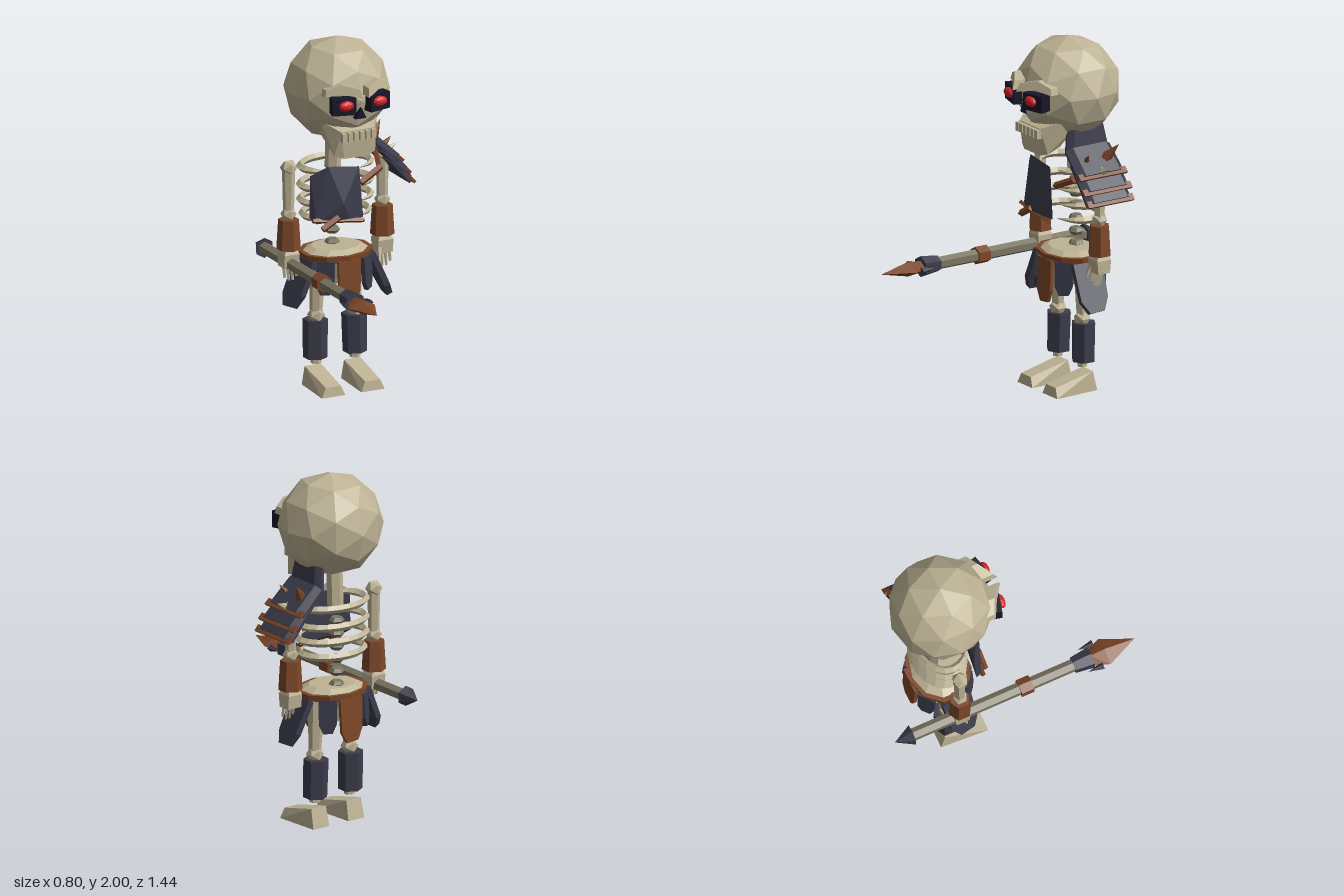
import * as THREE from 'three';
import { ConvexGeometry } from 'three/addons/geometries/ConvexGeometry.js';

const mat = (name, color) => Object.assign(new THREE.MeshStandardMaterial({ color }), { name });

export function createModel() {
  const bone = mat('bone', 0xbdb294), agedBone = mat('aged bone', 0x7c7562), iron = mat('dark iron', 0x3c3c4c);
  const leather = mat('brown leather', 0x7d4728), socketBlack = mat('socket black', 0x16162a), red = mat('glowing red', 0xd42226);
  const model = new THREE.Group();
  model.name = 'skeletonWarrior';
  const CX = -0.018, CZ = -0.33; // body axis
  const V = (x, y, z) => new THREE.Vector3(x, y, z);

  // Adds a faceted mesh
  function add(name, geo, material, x = 0, y = 0, z = 0) {
    const g = geo.index ? geo.toNonIndexed() : geo;
    g.computeVertexNormals();
    const m = new THREE.Mesh(g, material);
    m.name = name;
    m.position.set(x, y, z);
    model.add(m);
    return m;
  }
  const box = (w, h, d) => new THREE.BoxGeometry(w, h, d);
  const hull = (pts) => new ConvexGeometry(pts.map((p) => V(...p)));
  // Tapered prism from point a to point b
  function rod(name, a, b, ra, rb, sides, material) {
    const A = V(...a), B = V(...b), dir = B.clone().sub(A);
    const g = new THREE.CylinderGeometry(rb, ra, dir.length(), sides);
    g.applyQuaternion(new THREE.Quaternion().setFromUnitVectors(V(0, 1, 0), dir.clone().normalize()));
    const c = A.add(B).multiplyScalar(0.5);
    return add(name, g, material, c.x, c.y, c.z);
  }
  function extrude(pts, depth) {
    const s = new THREE.Shape(pts.map((p) => new THREE.Vector2(...p)));
    return new THREE.ExtrudeGeometry(s, { depth, bevelEnabled: false });
  }
  // Moves every vertex by a rule
  function reshape(g, rule) {
    const p = g.attributes.position;
    for (let i = 0; i < p.count; i++) p.setXYZ(i, ...rule(p.getX(i), p.getY(i), p.getZ(i)));
    return g;
  }

  // Skull and jaw
  add('skull', new THREE.IcosahedronGeometry(0.292, 1), bone, CX, 1.708, -0.316);
  add('jaw', hull([-1, 1].flatMap((s) => [
    [s * 0.172, 1.575, -0.17], [s * 0.172, 1.56, -0.29], [s * 0.1, 1.53, -0.065],
    [s * 0.125, 1.385, -0.1], [s * 0.075, 1.37, -0.08], [s * 0.11, 1.41, -0.19],
  ])), bone, CX);
  for (let i = 0; i < 6; i++) add('tooth', box(0.027, 0.05, 0.05), bone, CX + (i - 2.5) * 0.036, 1.5, -0.066);
  add('noseHole', hull([[0, 1.67, -0.015], [-0.033, 1.607, -0.025], [0.033, 1.607, -0.025], [0, 1.612, -0.008],
    [0, 1.67, -0.07], [-0.033, 1.607, -0.07], [0.033, 1.607, -0.07]]), socketBlack, CX);

  // Eyes and brows
  for (const s of [-1, 1]) {
    const socket = add('eyeSocket', box(0.135, 0.095, 0.07), socketBlack, CX + s * 0.103, 1.692, -0.04);
    socket.rotation.y = s * 0.25;
    add('eye', new THREE.IcosahedronGeometry(1, 1).scale(0.045, 0.03, 0.025), red, CX + s * 0.102, 1.7, 0);
    let pts = [[0.018, 1.74], [0.113, 1.762], [0.197, 1.742], [0.187, 1.78], [0.11, 1.812], [0.026, 1.788]];
    pts = pts.map(([x, y]) => [s * x, y]);
    const brow = reshape(extrude(pts, 0.075),
      (x, y, z) => [x, y, z - 0.03 - 0.6 * Math.abs(x) - (y - 1.75) * 0.3]);
    add('brow', brow, bone, CX);
  }

  // Spine
  rod('neck', [CX, 1.24, -0.36], [CX, 1.46, -0.35], 0.045, 0.045, 6, bone);
  const vertebra = [[0, -0.02], [0.03, -0.02], [0.044, 0], [0.03, 0.02], [0, 0.02]].map((p) => new THREE.Vector2(...p));
  for (let i = 0; i < 7; i++)
    add('vertebra', new THREE.LatheGeometry(vertebra, 6), agedBone, CX, 0.8 + i * 0.073, -0.37);

  // Ribs, tapering to the open front
  const gap = 0.75, arc = Math.PI * 2 - gap;
  [0.99, 1.075, 1.16, 1.265].forEach((y, i) => {
    const R = 0.2;
    const g = reshape(new THREE.TorusGeometry(R, 0.022, 4, 18, arc), (x, yy, z) => {
      let a = Math.atan2(yy, x);
      if (a < -1e-6) a += Math.PI * 2;
      const t = Math.max(0, Math.min(a / arc, 1 - a / arc));
      const k = Math.min(1, 0.1 + 6 * t), r = R + (Math.hypot(x, yy) - R) * k;
      return [Math.cos(a) * r, Math.sin(a) * r, z * k];
    });
    g.rotateZ(Math.PI / 2 + gap / 2).rotateX(Math.PI / 2).scale(i === 0 ? 0.96 : 1.03, 1, 0.72);
    add('rib', g, bone, CX, y, CZ);
  });

  // Breastplate and straps
  add('breastplate', hull([
    [-0.235, 1.255, -0.21], [-0.15, 1.31, -0.16], [0.04, 1.285, -0.16], [0.065, 0.99, -0.16], [-0.22, 0.99, -0.16],
    [-0.245, 1.02, -0.2], [-0.08, 1.1, -0.11], [-0.04, 1.01, -0.12], [-0.1, 1.27, -0.18],
  ]), iron);
  rod('strap', [-0.245, 1.012, -0.16], [0.06, 0.98, -0.14], 0.014, 0.014, 4, leather);
  rod('strap', [-0.2, 0.965, -0.13], [-0.1, 1.02, -0.13], 0.02, 0.02, 4, leather);
  rod('strap', [0.06, 1.18, -0.18], [0.2, 1.245, -0.21], 0.02, 0.02, 4, leather);
  rod('strap', [0.19, 1.24, -0.21], [0.21, 1.37, -0.33], 0.016, 0.016, 4, leather);

  // Layered shoulder guard on the left
  function plate(x1, y1, x2, y2, z1, z2, trim) {
    const rows = [[x1, y1, z1], [x2, y2, z2]];
    const len = Math.hypot(x2 - x1, y2 - y1), nx = (y1 - y2) / len, ny = (x2 - x1) / len, t = 0.016;
    add('shoulderPlate', hull(rows.flatMap(([x, y, h]) => [-1, 1].flatMap((s) => [
      [x + nx * t, y + ny * t, s * h * 0.75], [x - nx * t, y - ny * t, s * h * 0.75],
      [x - nx * t * 0.8, y - ny * t * 0.8, s * h], [x - nx * t * 1.6, y - ny * t * 1.6, s * h],
    ]))), iron, 0, 0, -0.325);
    if (trim) add('shoulderTrim', box(0.04, 0.016, z2 * 2 + 0.01), leather, x2, y2, -0.325).rotation.z = Math.atan2(y2 - y1, x2 - x1);
  }
  plate(0.15, 1.525, 0.17, 1.38, 0.115, 0.14, false);
  plate(0.17, 1.41, 0.305, 1.285, 0.145, 0.15, true);
  plate(0.22, 1.345, 0.35, 1.21, 0.145, 0.152, true);
  plate(0.27, 1.28, 0.38, 1.15, 0.14, 0.145, true);
  rod('shoulderSpike', [0.24, 1.35, -0.39], [0.31, 1.44, -0.43], 0.035, 0, 5, leather);
  rod('shoulderSpike', [0.29, 1.29, -0.33], [0.36, 1.325, -0.33], 0.026, 0, 5, bone);
  rod('shoulderSpike', [0.24, 1.35, -0.26], [0.285, 1.4, -0.25], 0.02, 0, 5, leather);

  // Limbs, mirrored
  for (const s of [-1, 1]) {
    const ax = CX + s * 0.288;
    add('shoulderJoint', new THREE.IcosahedronGeometry(0.048, 0), bone, ax, 1.28, CZ);
    rod('upperArm', [ax, 1.03, CZ], [ax, 1.26, CZ], 0.03, 0.036, 6, bone);
    add('elbow', new THREE.IcosahedronGeometry(0.045, 0), bone, ax, 1.015, CZ);
    rod('armGuard', [ax, 0.815, CZ], [ax, 0.985, CZ], 0.067, 0.057, 6, leather);
    add('palm', hull([-1, 1].flatMap((a) => [-1, 1].flatMap((b) => [
      [a * 0.03, 0.83, b * 0.03], [a * 0.046, 0.79, b * 0.045], [a * 0.045, 0.715, b * 0.038]]))), bone, ax, 0, CZ);
    for (let f = 0; f < 4; f++) {
      const fx = ax + (f - 1.5) * 0.024;
      rod('finger', [fx, 0.73, CZ + 0.01], [fx, f % 3 ? 0.64 : 0.66, CZ + 0.025], 0.012, 0.008, 4, bone);
    }
    rod('thumb', [ax - s * 0.035, 0.76, CZ + 0.03], [ax - s * 0.045, 0.69, CZ + 0.055], 0.014, 0.009, 4, bone);

    const lx = CX + s * 0.119;
    rod('thigh', [lx, 0.42, CZ], [lx - s * 0.01, 0.74, CZ], 0.034, 0.05, 6, bone);
    add('knee', new THREE.IcosahedronGeometry(0.05, 0), bone, lx, 0.41, CZ);
    rod('shin', [lx, 0.135, CZ], [lx, 0.4, CZ], 0.03, 0.034, 6, bone);
    rod('shinGuard', [lx + s * 0.003, 0.165, CZ - 0.005], [lx, 0.385, CZ - 0.01], 0.067, 0.07, 6, iron);
    add('foot', hull([-1, 1].flatMap((a) => [
      [a * 0.072, 0, -0.115], [a * 0.055, 0, -0.39], [a * 0.046, 0.056, -0.122], [a * 0.05, 0.112, -0.365],
    ])), bone, lx + s * 0.002);
  }

  // Pelvis and belt
  const ring = (rt, rb, h) => new THREE.CylinderGeometry(rt, rb, h, 10).scale(1, 1, 0.82);
  add('pelvisTop', ring(0.14, 0.2, 0.03), bone, CX, 0.783, CZ);
  add('belt', ring(0.213, 0.208, 0.035), leather, CX, 0.758, CZ);
  add('pelvis', ring(0.15, 0.06, 0.16), bone, CX, 0.665, CZ);

  // Hanging flaps around the belt
  function flap(name, angle, w, h, depth, tilt, material) {
    const pts = [[-w, 0], [-w * 0.92, -h * 0.75], [-w * 0.45, -h], [w * 0.55, -h * 0.97], [w * 0.95, -h * 0.7], [w, 0]];
    const m = add(name, extrude(pts, depth).translate(0, 0, -depth), material,
      CX + 0.205 * Math.sin(angle), 0.75, CZ + 0.172 * Math.cos(angle));
    m.rotation.set(-tilt, angle, 0, 'YXZ');
  }
  flap('frontFlap', 0, 0.068, 0.25, 0.02, 0.02, leather);
  flap('backFlap', Math.PI, 0.075, 0.25, 0.02, 0.04, leather);
  for (const s of [-1, 1]) {
    flap('frontSideFlap', s * 0.7, 0.052, 0.19, 0.025, 0.06, iron);
    flap('backSideFlap', s * 2.44, 0.052, 0.19, 0.025, 0.06, iron);
    flap('hipFlap', s * 1.45, 0.088, 0.28, 0.035, 0.42, iron);
  }

  // Spear along z
  const sx = -0.306, sy = 0.735;
  rod('spearShaft', [sx, sy, -0.64], [sx, sy, 0.37], 0.036, 0.036, 6, agedBone);
  rod('spearButt', [sx, sy, -0.615], [sx, sy, -0.72], 0.058, 0, 6, iron);
  rod('spearBand', [sx, sy, 0.025], [sx, sy, 0.1], 0.05, 0.05, 6, leather);
  rod('spearFerrule', [sx, sy, 0.35], [sx, sy, 0.46], 0.046, 0.06, 6, iron);
  add('spearHead', hull([[0, 0, 0.72], [-0.08, 0, 0.54], [0.08, 0, 0.54], [0, 0.042, 0.54], [0, -0.042, 0.54],
    [-0.05, 0, 0.455], [0.05, 0, 0.455], [0, 0.032, 0.455], [0, -0.032, 0.455]]), leather, sx, sy);
  for (const s of [-1, 1]) rod('spearBarb', [sx + s * 0.07, sy, 0.5], [sx + s * 0.07, sy, 0.41], 0.022, 0, 4, iron);

  return model;
}
